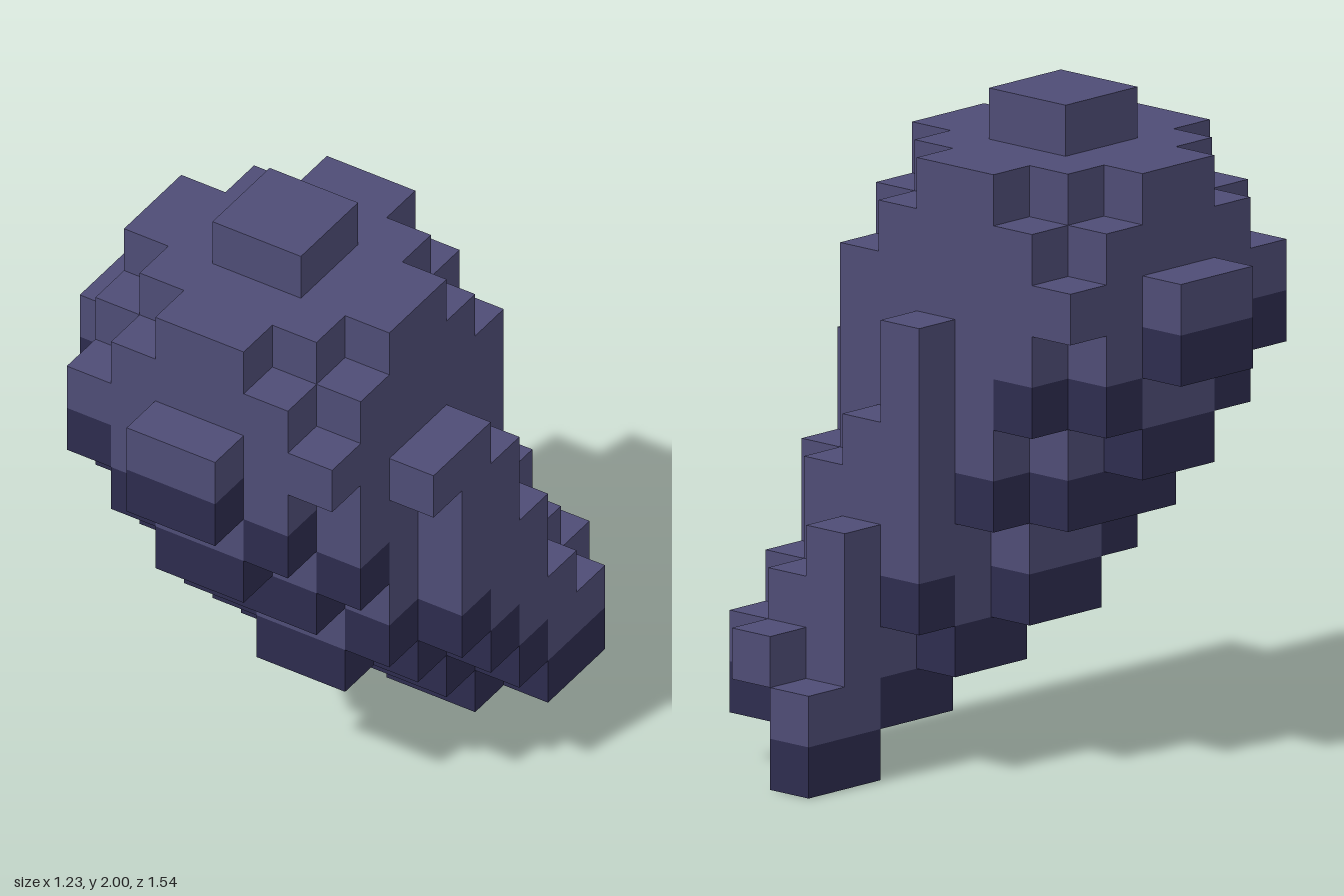
import * as THREE from 'three';
import { mergeGeometries } from 'three/addons/utils/BufferGeometryUtils.js';

const U = 2 / 13; // edge of one block

// Rows of columns from front to back: [z, first x, lowest block of each column,
// highest block of the last columns where the tail leaves the round head]
const ROWS = [
  [4, -1, '88', ''],
  [3, -3, '876679', ''],
  [2, -3, '765556', ''],
  [1, -4, '86543348', '8'],
  [0, -4, '86533334', '8'],
  [-1, -3, '7532223', '7'],
  [-2, -3, '9752112', '5'],
  [-3, 0, '3111', '8653'],
  [-4, 1, '011', '432'],
  [-5, 1, '02', '12'],
];

// Top block of the round head, a ball around (0, 9, 1)
function headTop(x, z) {
  const d2 = (x + 0.5) ** 2 + (z - 0.5) ** 2;
  return 8 + Math.floor(0.5 + Math.sqrt(Math.max(0, 13 - d2)));
}

// Outward unit directions with the turn that points a plane that way
const SIDES = [
  [0, 0, 1, 0, 0],
  [0, 0, -1, 0, Math.PI],
  [1, 0, 0, 0, Math.PI / 2],
  [-1, 0, 0, 0, -Math.PI / 2],
  [0, 1, 0, -Math.PI / 2, 0],
  [0, -1, 0, Math.PI / 2, 0],
];

export function createModel() {
  const violet = new THREE.MeshStandardMaterial({ color: 0x4e4c75 });
  violet.name = 'dusty violet';
  const indigo = new THREE.MeshStandardMaterial({ color: 0x2d2c4e });
  indigo.name = 'dark indigo';

  // Fill the columns; the lowest block of a column is dark unless it is alone
  const blocks = new Map();
  for (const [z, x0, lows, tailTops] of ROWS) {
    [...lows].forEach((low, i) => {
      const x = x0 + i;
      const bottom = Number(low);
      const t = i - (lows.length - tailTops.length);
      const top = t >= 0 ? Number(tailTops[t]) : headTop(x, z);
      for (let y = bottom; y <= top; y++) {
        blocks.set(`${x},${y},${z}`, { x, y, z, dark: y === bottom && top > bottom });
      }
    });
  }

  // Keep only the outer faces of the blocks
  const upper = [];
  const under = [];
  for (const { x, y, z, dark } of blocks.values()) {
    for (const [dx, dy, dz, rx, ry] of SIDES) {
      if (blocks.has(`${x + dx},${y + dy},${z + dz}`)) continue;
      const face = new THREE.PlaneGeometry(U, U);
      face.rotateX(rx).rotateY(ry);
      face.translate(
        (x + 0.5 + dx / 2) * U,
        (y + 0.5 + dy / 2) * U,
        (z + 0.5 + dz / 2) * U,
      );
      (dark ? under : upper).push(face);
    }
  }

  const group = new THREE.Group();
  group.name = 'blockyTaperedBody';
  const body = new THREE.Mesh(mergeGeometries(upper), violet);
  body.name = 'upperBody';
  const underside = new THREE.Mesh(mergeGeometries(under), indigo);
  underside.name = 'darkUnderside';
  group.add(body, underside);
  return group;
}
